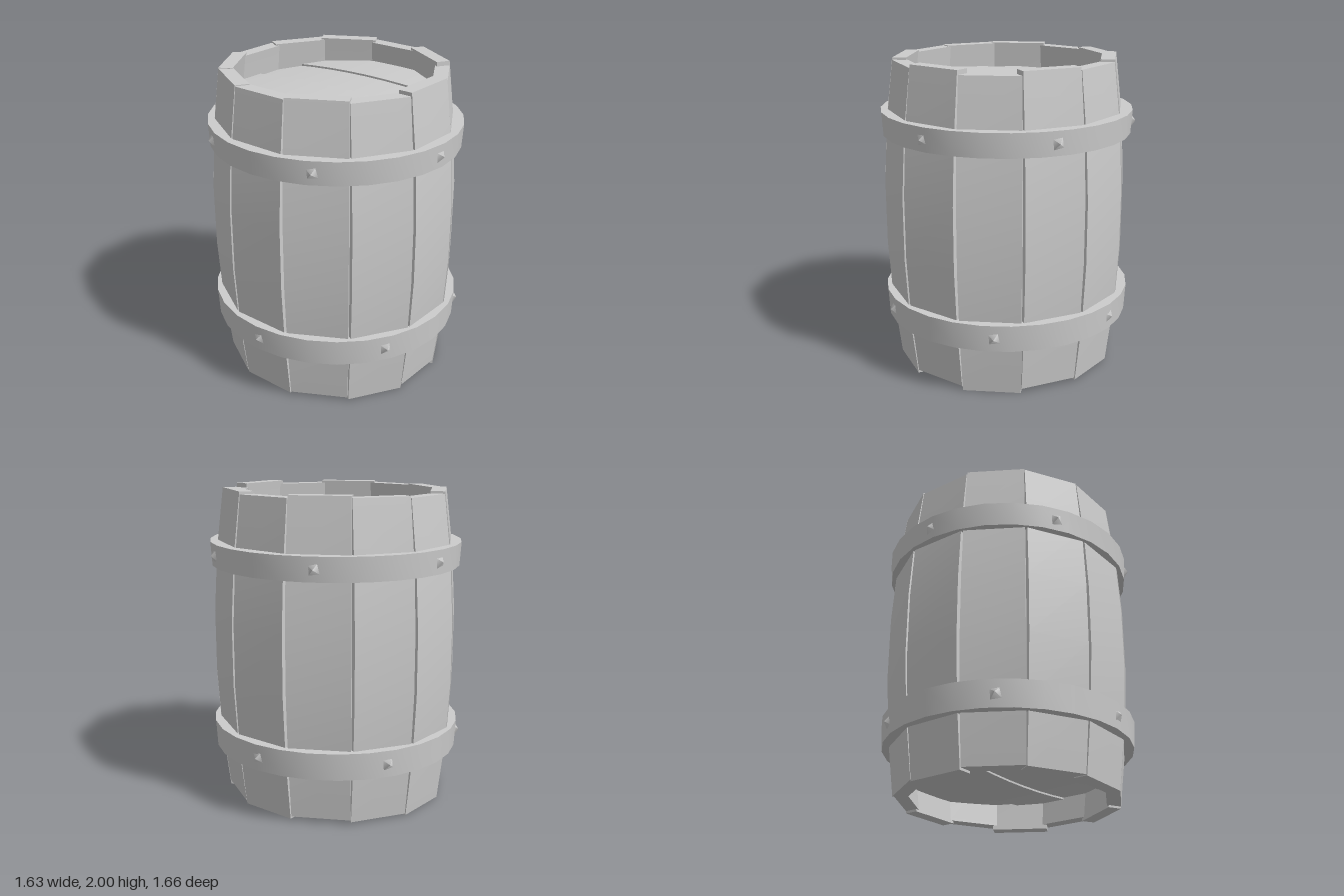
import * as THREE from 'three';
import { toCreasedNormals } from 'three/addons/utils/BufferGeometryUtils.js';

const grey = new THREE.MeshStandardMaterial({ color: 0xcccccc });

function part(name, geometry, parent) {
  const mesh = new THREE.Mesh(geometry, grey);
  mesh.name = name;
  parent.add(mesh);
  return mesh;
}

// One bowed plank: bulges outwards and widens a little at mid height
function staveGeometry() {
  const length = 1.972, thickness = 0.09;
  const g = new THREE.BoxGeometry(1, length, thickness, 1, 5, 1);
  const p = g.attributes.position;
  for (let i = 0; i < p.count; i++) {
    const t = p.getY(i) / (length / 2);
    const width = 0.394 - 0.024 * t * t;
    const outer = 0.776 - 0.075 * t * t;
    p.setXYZ(i, p.getX(i) * width, p.getY(i) + length / 2, p.getZ(i) + outer - thickness / 2);
  }
  g.computeVertexNormals();
  return g;
}

// Slightly flared metal band, deep enough to sit in the staves
function hoopGeometry(height) {
  const h = height / 2;
  const profile = [[0.802, -h], [0.812, h], [0.73, h], [0.73, -h], [0.802, -h]]
    .map(([r, y]) => new THREE.Vector2(r, y));
  return toCreasedNormals(new THREE.LatheGeometry(profile, 28), 0.6);
}

// Slice of a round lid between two x positions, bowed along its length
function lidPlankGeometry(x0, x1, bow) {
  const radius = 0.67;
  const g = new THREE.BoxGeometry(x1 - x0, 0.06, 2, 6, 1, 8);
  g.translate((x0 + x1) / 2, 0, 0);
  const p = g.attributes.position;
  for (let i = 0; i < p.count; i++) {
    const x = p.getX(i);
    const z = p.getZ(i) * Math.sqrt(radius * radius - x * x);
    p.setY(i, p.getY(i) - bow * (z / radius) ** 2);
    p.setZ(i, z);
  }
  g.computeVertexNormals();
  return g;
}

export function createModel() {
  const barrel = new THREE.Group();
  barrel.name = 'barrel';

  // Twelve staves, each set at a slightly different height
  const staves = new THREE.Group();
  staves.name = 'staves';
  staves.scale.x = 0.972;
  staves.position.x = -0.005;
  barrel.add(staves);
  const plank = staveGeometry();
  const lifts = [0.028, 0, 0.028, 0.012, 0.028, 0.016, 0.005, 0.02, 0.016, 0.01, 0.02, 0.006];
  lifts.forEach((lift, i) => {
    const stave = part('stave', plank, staves);
    stave.rotation.y = i * Math.PI / 6 - 0.012;
    stave.position.y = lift;
  });

  // Two recessed lids of four planks, bulging outwards
  const seams = [-0.66, -0.33, -0.008, 0.312, 0.655];
  for (const [name, y, bow] of [['topLid', 1.82, 0.04], ['bottomLid', 0.18, -0.04]]) {
    const lid = new THREE.Group();
    lid.name = name;
    lid.position.y = y;
    barrel.add(lid);
    for (let i = 0; i < 4; i++) {
      const lidPlank = part('lidPlank', lidPlankGeometry(seams[i], seams[i + 1], bow), lid);
      lidPlank.position.y = i % 2 ? 0.006 : -0.006;
    }
  }

  // Two hoops with six low pointed studs each, staggered by half a step
  const studShape = new THREE.ConeGeometry(0.056, 0.036, 4).rotateY(Math.PI / 4 + 0.15).rotateX(Math.PI / 2);
  for (const [name, y, height, turn] of [['upperHoop', 1.595, 0.15, -0.03], ['lowerHoop', 0.41, 0.17, Math.PI / 6 + 0.015]]) {
    const hoop = new THREE.Group();
    hoop.name = name;
    hoop.position.y = y;
    hoop.scale.x = 0.982;
    barrel.add(hoop);
    part('band', hoopGeometry(height), hoop);
    for (let i = 0; i < 6; i++) {
      const a = turn + i * Math.PI / 3;
      const stud = part('stud', studShape, hoop);
      stud.position.set(Math.sin(a) * 0.812, 0, Math.cos(a) * 0.812);
      stud.rotation.y = a;
    }
  }
  return barrel;
}
